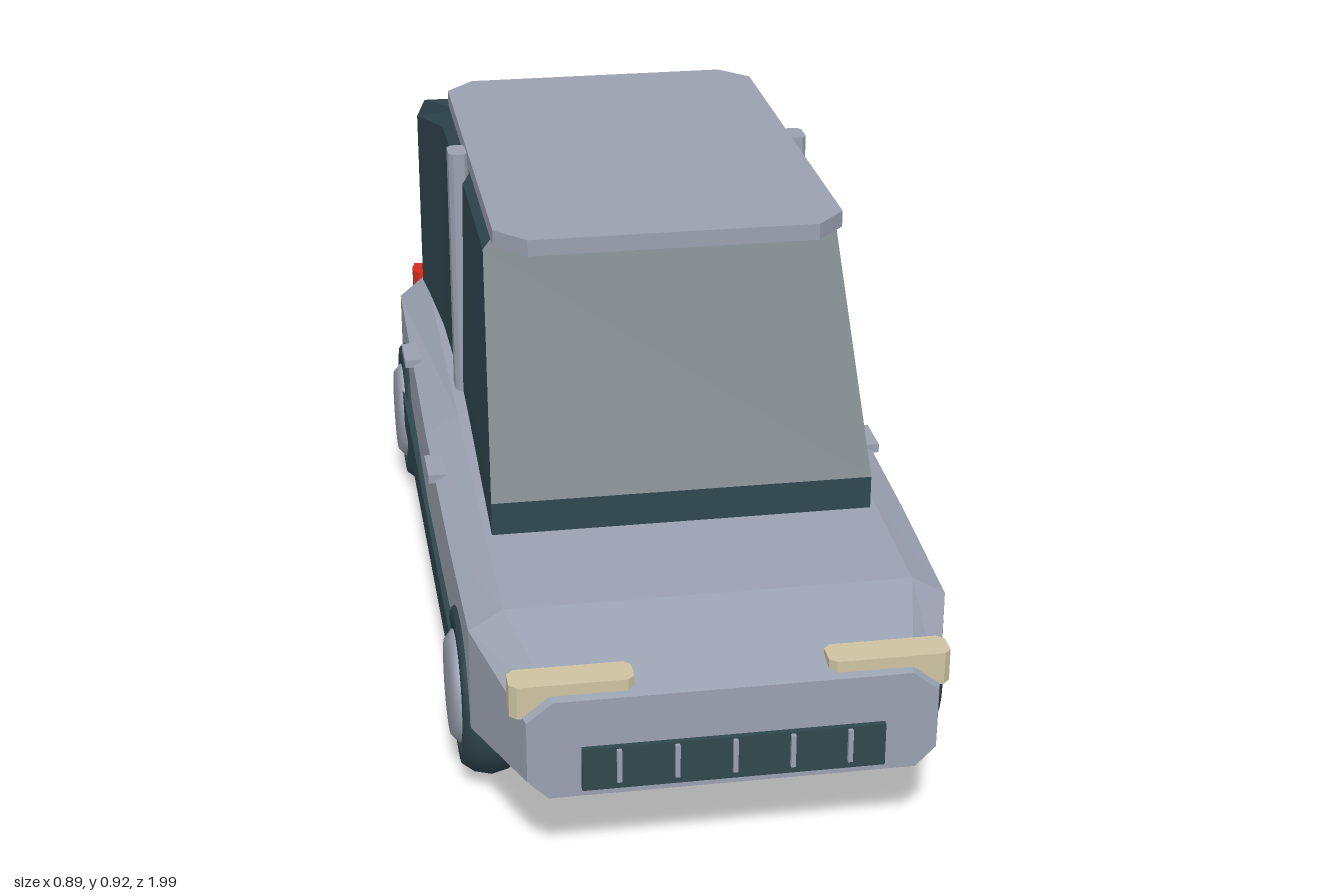
import * as THREE from 'three';

const mat = (name, color) => {
  const m = new THREE.MeshStandardMaterial({ color });
  m.name = name;
  return m;
};

// Mirrored loft: each section lists its [x, y, z] points on the +x side, bottom to top; sections run front to back.
function loft(sections) {
  const pos = [];
  const flip = ([x, y, z]) => [-x, y, z];
  const quad = (a, b, c, d) => [a, b, c, a, c, d].forEach((p) => pos.push(...p));
  const rings = sections.map((s) => [...s, ...s.map(flip).reverse()]);
  for (let s = 0; s < rings.length - 1; s++) {
    const f = rings[s], b = rings[s + 1], n = f.length;
    for (let i = 0; i < n; i++) {
      const j = (i + 1) % n;
      quad(f[i], b[i], b[j], f[j]);
    }
  }
  const first = sections[0], last = sections[sections.length - 1];
  for (let i = 0; i < first.length - 1; i++) {
    quad(first[i], first[i + 1], flip(first[i + 1]), flip(first[i]));
    quad(last[i], flip(last[i]), flip(last[i + 1]), last[i + 1]);
  }
  const g = new THREE.BufferGeometry();
  g.setAttribute('position', new THREE.Float32BufferAttribute(pos, 3));
  g.computeVertexNormals();
  return g;
}

// Upright slab with cut corners, centred on its own middle.
function slab(w, h, d, cx, cz) {
  const x = w / 2, z = d / 2;
  const pts = [[x, z - cz], [x - cx, z], [cx - x, z], [-x, z - cz], [-x, cz - z], [cx - x, -z], [x - cx, -z], [x, cz - z]];
  const shape = new THREE.Shape(pts.map(([a, b]) => new THREE.Vector2(a, b)));
  return new THREE.ExtrudeGeometry(shape, { depth: h, bevelEnabled: false })
    .rotateX(-Math.PI / 2).translate(0, -h / 2, 0);
}

export function createModel() {
  const car = new THREE.Group();
  const paint = mat('silver paint', 0x9aa1b0);
  const dark = mat('dark glass and rubber', 0x30474f);
  const lamp = mat('cream lamp', 0xcec4a2);
  const red = mat('red lamp', 0xd92b1c);
  const add = (name, geo, material, x = 0, y = 0, z = 0) => {
    const m = new THREE.Mesh(geo, material);
    m.name = name;
    m.position.set(x, y, z);
    car.add(m);
    return m;
  };
  const box = (name, material, x0, x1, y0, y1, z0, z1) =>
    add(name, new THREE.BoxGeometry(x1 - x0, y1 - y0, z1 - z0), material, (x0 + x1) / 2, (y0 + y1) / 2, (z0 + z1) / 2);

  // Body: [z, bottom half-width, bottom y, half-width, lower edge y, upper edge y, top half-width, top y]
  const body = [
    [0.975, 0.31, 0.155, 0.345, 0.19, 0.3, 0.3, 0.335],
    [0.75, 0.375, 0.133, 0.415, 0.165, 0.355, 0.355, 0.39],
    [0.45, 0.38, 0.137, 0.42, 0.165, 0.367, 0.357, 0.4],
    [0, 0.38, 0.14, 0.422, 0.165, 0.38, 0.358, 0.415],
    [-0.77, 0.375, 0.14, 0.412, 0.165, 0.365, 0.355, 0.412],
    [-1, 0.325, 0.17, 0.36, 0.2, 0.3, 0.315, 0.335],
  ].map(([z, wb, yb, w, y1, y2, wt, yt]) => [[wb, yb, z], [w, y1, z], [w, y2, z], [wt, yt, z]]);
  add('body', loft(body), paint);

  // Glazed cabin with raked windscreen and sloping rear
  const cabin = [
    [[0.345, 0.39, 0.49], [0.345, 0.46, 0.49], [0.325, 0.85, 0.25], [0.29, 0.885, 0.23]],
    [[0.335, 0.39, -0.14], [0.335, 0.46, -0.14], [0.325, 0.85, -0.14], [0.295, 0.885, -0.14]],
    [[0.342, 0.39, -0.47], [0.342, 0.46, -0.47], [0.332, 0.85, -0.47], [0.3, 0.885, -0.47]],
    [[0.362, 0.39, -0.755], [0.362, 0.46, -0.755], [0.362, 0.785, -0.755], [0.345, 0.82, -0.755]],
  ];
  add('cabin glass', loft(cabin), dark);

  add('roof panel', slab(0.63, 0.03, 0.955, 0.055, 0.06), paint, 0, 0.9, -0.087);

  // Grille and bars
  box('grille', dark, -0.255, 0.255, 0.17, 0.248, 0.95, 0.985);
  for (let i = -2; i <= 2; i++) box('grille bar', paint, i * 0.097 - 0.004, i * 0.097 + 0.004, 0.185, 0.245, 0.97, 0.993);

  // Wheel profiles, radius against axle
  const lathe = (pts) => new THREE.LatheGeometry(pts.map(([r, a]) => new THREE.Vector2(r, a)), 32).rotateZ(-Math.PI / 2);
  const tyre = lathe([[0.1, -0.05], [0.138, -0.05], [0.153, -0.03], [0.16, 0], [0.153, 0.03], [0.138, 0.05], [0.1, 0.05], [0.1, -0.05]]);
  const hub = lathe([[0.101, 0.03], [0.101, 0.052], [0.085, 0.066], [0, 0.068]]);

  for (const s of [1, -1]) {
    const side = s > 0 ? 'left' : 'right';
    const sideBox = (name, m, x0, x1, ...r) => box(`${side} ${name}`, m, Math.min(s * x0, s * x1), Math.max(s * x0, s * x1), ...r);
    for (const [end, z] of [['front', 0.595], ['rear', -0.61]]) {
      for (const [part, geo, m] of [['tyre', tyre, dark], ['hubcap', hub, paint]]) {
        add(`${end} ${side} ${part}`, geo, m, s * 0.375, 0.16, z).rotation.y = s > 0 ? 0 : Math.PI;
      }
    }
    sideBox('sill', dark, 0.38, 0.43, 0.165, 0.232, -0.57, 0.53);
    add(`${side} door pillar`, slab(0.038, 0.51, 0.06, 0.008, 0.01), paint, s * 0.331, 0.652, -0.145);
    for (const z of [0.16, -0.395]) sideBox('door handle', paint, 0.4, 0.434, 0.37, 0.387, z - 0.045, z + 0.045);
    add(`${side} headlight`, slab(0.207, 0.058, 0.06, 0.012, 0.012), lamp, s * 0.266, 0.33, 0.93);
    // Tail lamp: thin bar wrapping onto the corner
    sideBox('tail lamp bar', red, 0.16, 0.365, 0.33, 0.358, -0.985, -0.957);
    add(`${side} tail lamp corner`, slab(0.04, 0.048, 0.055, 0.01, 0.012), red, s * 0.35, 0.332, -0.957);
  }
  return car;
}
